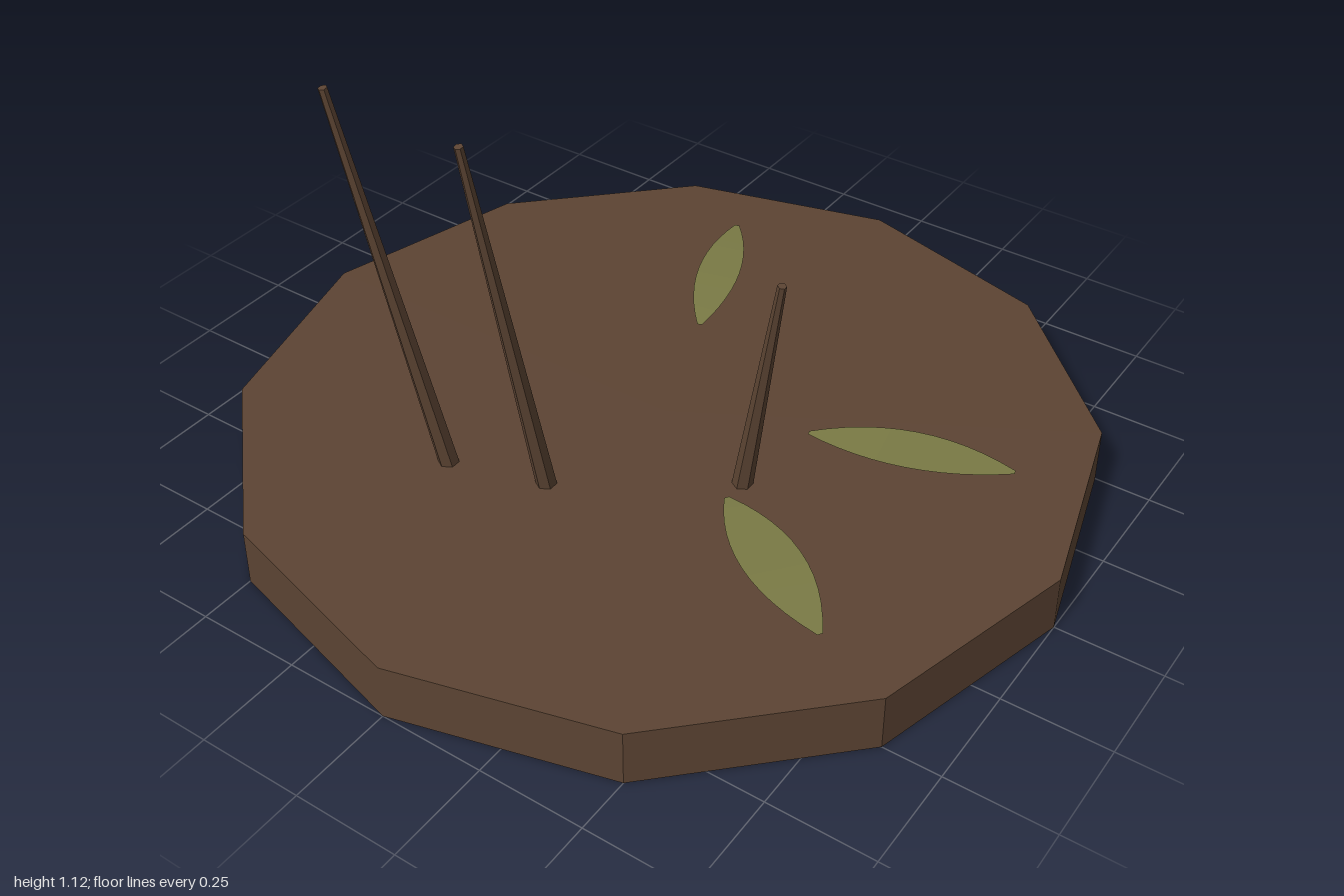
import * as THREE from 'three';

export function createModel() {
  const group = new THREE.Group();
  const soil = new THREE.MeshStandardMaterial({ name: 'soilBrown', color: 0x5c4433, flatShading: true });
  const leafGreen = new THREE.MeshStandardMaterial({ name: 'leafGreen', color: 0x7a7a45, side: THREE.DoubleSide });
  const top = 0.135;

  const add = (name, geometry, material) => {
    const mesh = new THREE.Mesh(geometry, material);
    mesh.name = name;
    group.add(mesh);
    return mesh;
  };

  // Twelve-sided ground disc
  add('groundDisc', new THREE.CylinderGeometry(1, 1, top, 12), soil).position.y = top / 2;

  // Tapered leaning twigs: [base x, base z, tip x, tip y, tip z]
  const twigs = [
    [-0.295, 0.425, -0.41, 1.12, 0.58],
    [-0.07, 0.36, -0.105, 1.07, 0.54],
    [0.285, 0.115, 0.395, 0.73, 0.16],
  ];
  twigs.forEach(([bx, bz, tx, ty, tz], i) => {
    const base = new THREE.Vector3(bx, top - 0.01, bz);
    const tip = new THREE.Vector3(tx, ty, tz);
    const axis = tip.clone().sub(base);
    const twig = add(`twig${i + 1}`, new THREE.CylinderGeometry(0.01, 0.024, axis.length(), 6), soil);
    twig.position.copy(base).add(tip).multiplyScalar(0.5);
    twig.quaternion.setFromUnitVectors(new THREE.Vector3(0, 1, 0), axis.normalize());
  });

  // Thin pointed leaves, slightly arched: [start x, start z, end x, end z, half width]
  const leaves = [
    [-0.12, -0.32, -0.29, -0.75, 0.053],
    [0.32, -0.11, 0.77, -0.25, 0.066],
    [0.29, 0.185, 0.675, 0.43, 0.068],
  ];
  leaves.forEach(([ax, az, bx, bz, halfWidth], i) => {
    const length = Math.hypot(bx - ax, bz - az);
    const geometry = new THREE.PlaneGeometry(length, 2, 12, 2).rotateX(-Math.PI / 2);
    const p = geometry.attributes.position;
    for (let k = 0; k < p.count; k++) {
      const t = p.getX(k) / length + 0.5;
      const bulge = 4 * t * (1 - t);
      p.setY(k, 0.008 * bulge);
      p.setZ(k, p.getZ(k) * (0.006 + (halfWidth - 0.006) * bulge));
    }
    geometry.computeVertexNormals();
    const leaf = add(`leaf${i + 1}`, geometry, leafGreen);
    leaf.position.set((ax + bx) / 2, 0.144, (az + bz) / 2);
    leaf.rotation.y = -Math.atan2(bz - az, bx - ax);
  });

  return group;
}
